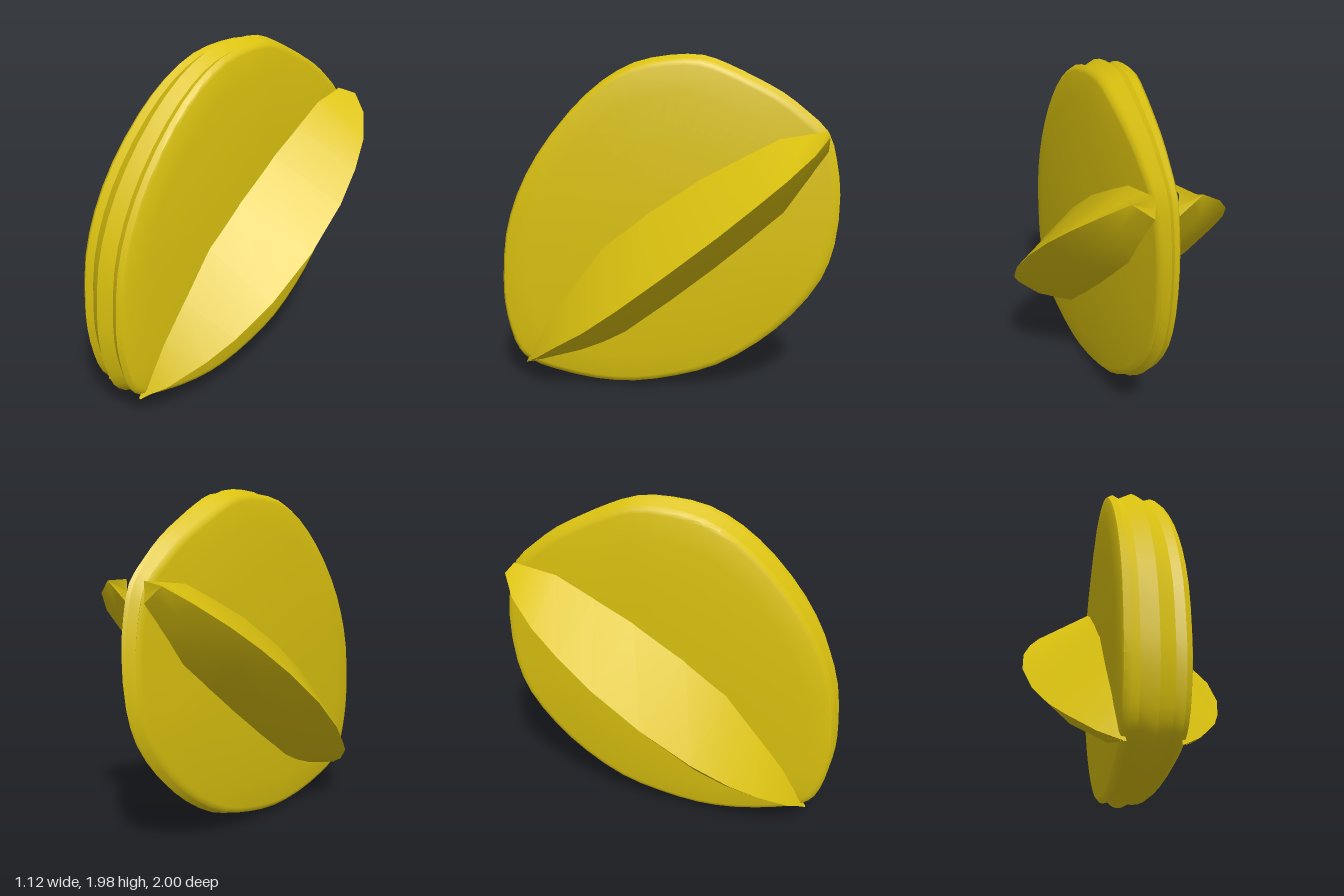
import * as THREE from 'three';
import { toCreasedNormals } from 'three/addons/utils/BufferGeometryUtils.js';

// Skin a grid of points: rows[i][j] = [x, y, z]
function loft(rows, crease, flip = false) {
  const position = [], index = [], n = rows[0].length;
  rows.forEach(row => row.forEach(p => position.push(...p)));
  for (let i = 0; i < rows.length - 1; i++) {
    for (let j = 0; j < n - 1; j++) {
      const a = i * n + j, b = a + 1, c = a + n, d = c + 1;
      if (flip) index.push(a, c, b, b, c, d);
      else index.push(a, b, c, b, d, c);
    }
  }
  const g = new THREE.BufferGeometry();
  g.setAttribute('position', new THREE.Float32BufferAttribute(position, 3));
  g.setIndex(index);
  return toCreasedNormals(g, crease);
}

// Outline of the upright disc as [z, y], front corner first, then up and over
const OUTLINE = [
  [0.85, 0.12], [0.92, 0.19], [0.97, 0.33], [0.998, 0.5], [0.998, 0.66], [0.97, 0.93],
  [0.89, 1.18], [0.76, 1.42], [0.57, 1.66], [0.38, 1.83], [0.19, 1.935], [-0.02, 1.978],
  [-0.21, 1.978], [-0.35, 1.93], [-0.5, 1.86], [-0.66, 1.775], [-0.8, 1.67], [-0.92, 1.555],
  [-0.97, 1.4], [-0.998, 1.2], [-0.98, 0.91], [-0.91, 0.695], [-0.75, 0.47], [-0.56, 0.29],
  [-0.32, 0.135], [-0.075, 0.053], [0.19, 0.005], [0.43, 0.01], [0.7, 0.064],
];

// Half thickness of the disc at its rim, widest at the front
const halfWidth = (z, y) => 0.117 + 0.058 * z + 0.01 * (y - 1);

// Half of the rim section: [share of the half width, inset from the outline]
const RIM = [[0.5, 0.04], [0.78, 0.022], [0.96, 0.04], [1, 0.06]];

function discGeometry() {
  const curve = new THREE.CatmullRomCurve3(OUTLINE.map(([z, y]) => new THREE.Vector3(0, y, z)), true);
  const rows = curve.getPoints(OUTLINE.length * 2).map(({ y, z }) => {
    const w = halfWidth(z, y);
    const at = (x, s) => [x, 1 + (y - 1) * s, z * s];
    // the face swells gently towards the middle
    const face = (side, s) => at(side * (halfWidth(z * s, 1 + (y - 1) * s) + 0.045 * (1 - s * s)), s);
    const half = side => [
      ...RIM.map(([share, inset]) => at(side * share * w, 1 - inset)),
      ...[0.8, 0.55, 0.28, 0].map(s => face(side, s)),
    ];
    return [...half(-1).reverse(), at(0, 1), ...half(1)];
  });
  return loft(rows, 0.7);
}

// Side flange sections from the low front tip to the high back tip:
// upper root [z, y], outer edge [x, z, y], lower root [z, y]
const UPPER = [[0.85, 0.13], [0.78, 0.27], [0.7, 0.42], [0.55, 0.63], [0.35, 0.9], [0.1, 1.1],
  [-0.2, 1.3], [-0.43, 1.42], [-0.65, 1.53], [-0.8, 1.55], [-0.91, 1.565]];
const EDGE = [[0.13, 0.85, 0.13], [0.25, 0.75, 0.205], [0.38, 0.57, 0.345], [0.45, 0.41, 0.455],
  [0.52, 0.2, 0.62], [0.558, -0.08, 0.845], [0.54, -0.35, 1.06], [0.49, -0.54, 1.215],
  [0.42, -0.7, 1.345], [0.31, -0.84, 1.465], [0.18, -0.92, 1.55]];
const LOWER = [[0.85, 0.13], [0.7, 0.17], [0.5, 0.23], [0.36, 0.29], [0.23, 0.36], [-0.05, 0.57],
  [-0.3, 0.77], [-0.5, 0.94], [-0.68, 1.1], [-0.83, 1.32], [-0.92, 1.45]];

function flangeGeometry(side) {
  const swell = i => Math.sin(Math.PI * i / (EDGE.length - 1));
  const root = ([z, y], i) => [side * (halfWidth(z, y) - 0.012 + 0.035 * swell(i)), y, z];
  const rows = EDGE.map(([x, z, y], i) => {
    const upper = root(UPPER[i], i), edge = [side * x, y, z], lower = root(LOWER[i], i);
    // rounded underside
    const belly = [
      edge[0] * 0.55 + lower[0] * 0.45 + side * 0.02 * swell(i),
      edge[1] * 0.55 + lower[1] * 0.45 - 0.02 * swell(i),
      edge[2] * 0.55 + lower[2] * 0.45 - 0.015 * swell(i),
    ];
    return [upper, edge, belly, lower];
  });
  // close the back tip onto the middle of its root
  rows.push(new Array(4).fill(root([-0.91, 1.5], EDGE.length - 1)));
  return loft(rows, 0.6, side < 0);
}

export function createModel() {
  const yellow = new THREE.MeshStandardMaterial({ color: 0xdbc20f });
  yellow.name = 'yellow';
  const model = new THREE.Group();
  model.name = 'crossedShell';
  const add = (name, geometry) => {
    const mesh = new THREE.Mesh(geometry, yellow);
    mesh.name = name;
    model.add(mesh);
  };
  add('uprightDisc', discGeometry());
  add('leftFlange', flangeGeometry(1));
  add('rightFlange', flangeGeometry(-1));
  return model;
}
